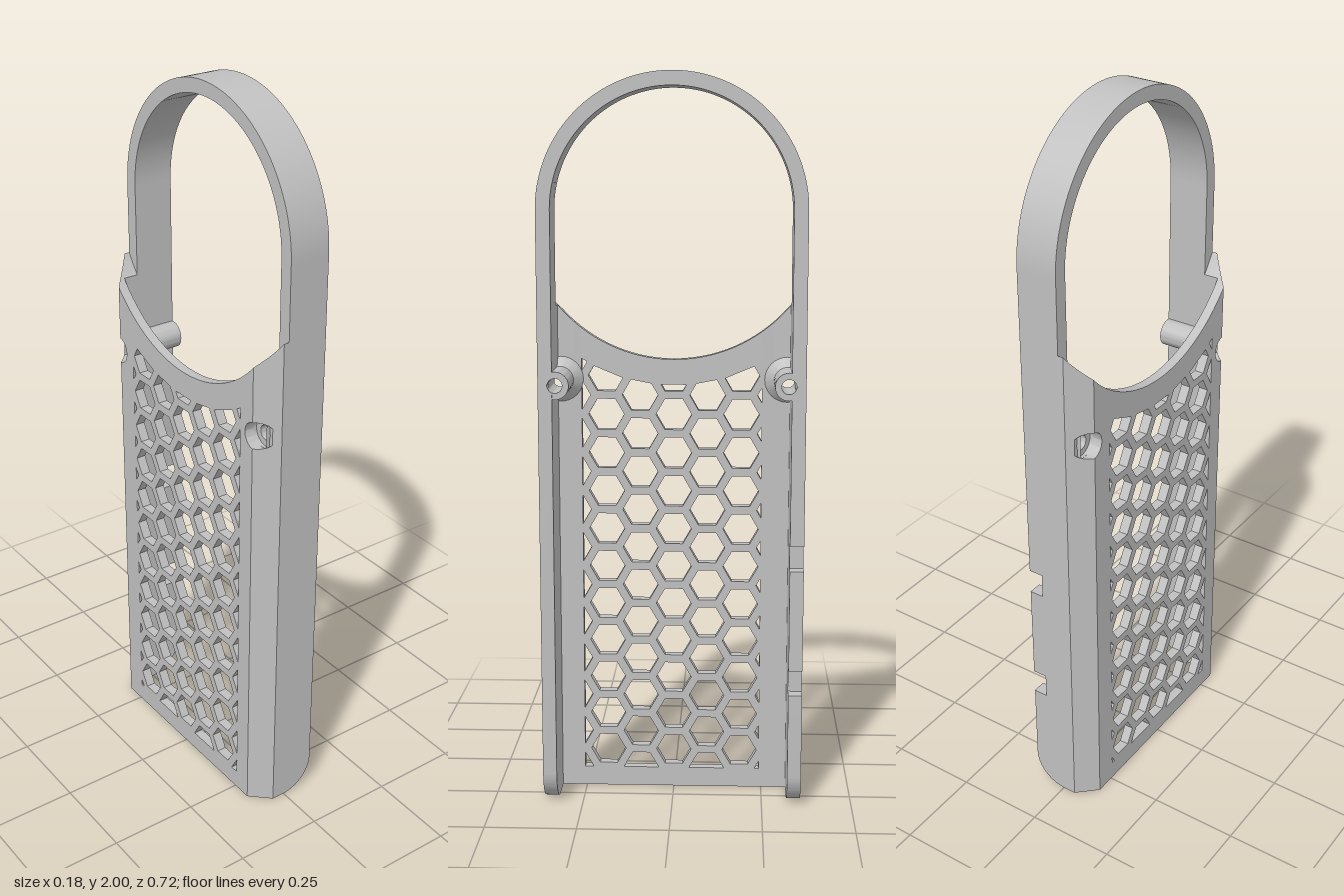
import * as THREE from 'three';
import { toCreasedNormals } from 'three/addons/utils/BufferGeometryUtils.js';

const OUT = 0.358, IN = 0.32;              // outer and inner half width
const BACK = -0.092, FRONT = 0.092;        // depth range
const HOOP_X = -0.023, HOOP_Y = 1.642;     // hoop back edge and centre height
const PLATE_IN = -0.065, FLAT = 0.307;     // plate inner face, start of chamfer
const SLOPE = 1.06;                        // chamfer depth per unit of width
const BOSS = { z: 0.3125, y: 1.18, bore: 0.0375, hole: 0.02, floor: -0.055 };
const ARC_Y = 1.651, ARC_R = 0.416;        // scooped top edge of the plate

const scoop = (z, r = ARC_R) => ARC_Y - Math.sqrt(r * r - z * z);
const chamfer = z => BACK + Math.max(0, z - FLAT) * SLOPE;
const half = (z, r) => Math.sqrt(Math.max(0, r * r - (z - BOSS.z) ** 2));

// Prism swept along z whose x and y limits are functions of z; s mirrors it
function sweep(z0, z1, xo, xi, lo, hi, s, n = 16) {
  const pos = [];
  const ring = i => {
    const z = z0 + (z1 - z0) * i / n;
    return [[xo(z), lo(z), z], [xi(z), lo(z), z], [xi(z), hi(z), z], [xo(z), hi(z), z]];
  };
  const tri = (a, b, c) => {
    for (const p of s > 0 ? [a, b, c] : [a, c, b]) pos.push(p[0], p[1], p[2] * s);
  };
  const quad = (a, b, c, d) => { tri(a, b, c); tri(a, c, d); };
  for (let i = 0; i < n; i++) {
    const p = ring(i), q = ring(i + 1);
    for (let k = 0; k < 4; k++) {
      const m = (k + 1) % 4;
      quad(p[k], p[m], q[m], q[k]);
    }
  }
  quad(...ring(n));
  quad(...ring(0).reverse());
  const g = new THREE.BufferGeometry();
  g.setAttribute('position', new THREE.Float32BufferAttribute(pos, 3));
  return g;
}

// Keeps the part of a polygon where a*x + b*y <= c
function clip(poly, a, b, c) {
  const out = [];
  poly.forEach((p, i) => {
    const q = poly[(i + 1) % poly.length];
    const dp = a * p.x + b * p.y - c, dq = a * q.x + b * q.y - c;
    if (dp <= 0) out.push(p);
    if (dp * dq < 0) out.push(p.clone().lerp(q, dp / (dp - dq)));
  });
  return out;
}

// Honeycomb openings trimmed to the plate's border (shape x is -z)
function honeycomb() {
  const pitch = 0.108, step = pitch * 0.866, r = 0.0495, holes = [];
  for (let col = -3; col <= 3; col++) {
    for (let row = -1; row < 12; row++) {
      const cz = col * step, cy = 0.11 + (row + (col % 2 ? 0.5 : 0)) * pitch;
      let poly = [];
      for (let k = 0; k < 6; k++) {
        const t = k * Math.PI / 3;
        poly.push(new THREE.Vector2(cz + r * Math.cos(t), cy + r * Math.sin(t)));
      }
      const t = THREE.MathUtils.clamp(cz, -0.24, 0.24), R = ARC_R + 0.07;
      const slope = t / Math.sqrt(R * R - t * t);
      poly = clip(poly, 1, 0, 0.243);
      poly = clip(poly, -1, 0, 0.255);
      poly = clip(poly, 0, -1, -0.055);
      poly = clip(poly, -slope, 1, scoop(t, R) - slope * t);
      if (poly.length > 2 && Math.abs(THREE.ShapeUtils.area(poly)) > 0.0001) holes.push(new THREE.Path(poly));
    }
  }
  return holes;
}

// Extrudes a (z, y) shape along x from x0
function extrudeX(shape, x0, depth) {
  const g = new THREE.ExtrudeGeometry(shape, { depth, bevelEnabled: false, curveSegments: 48 });
  return g.rotateY(Math.PI / 2).translate(x0, 0, 0);
}

export function createModel() {
  const model = new THREE.Group();
  const grey = new THREE.MeshStandardMaterial({ color: 0xc0c0c0 });
  grey.name = 'grey';
  const add = (geo, name) => {
    const mesh = new THREE.Mesh(toCreasedNormals(geo, 0.5), grey);
    mesh.name = name;
    model.add(mesh);
  };

  // Perforated back plate
  const edge = BOSS.z - BOSS.bore, plate = new THREE.Shape();
  plate.moveTo(-edge, 0);
  plate.lineTo(edge, 0);
  for (let i = 0; i <= 32; i++) {
    const z = edge * (1 - i / 16);
    plate.lineTo(z, scoop(z));
  }
  plate.holes = honeycomb();
  add(extrudeX(plate, BACK, PLATE_IN - BACK), 'honeycombPlate');

  // Half-round hoop
  const hoop = new THREE.Shape();
  hoop.absarc(0, HOOP_Y, OUT, 0, Math.PI, false);
  hoop.absarc(0, HOOP_Y, IN, Math.PI, 0, true);
  add(extrudeX(hoop, HOOP_X, FRONT - HOOP_X), 'hoop');

  const wallTop = 1.14, R = 0.095;
  const k = v => () => v;
  for (const s of [1, -1]) {
    const side = s > 0 ? 'left' : 'right';

    // Chamfered back edge, cut around the screw recess
    const floorEnd = FLAT + (BOSS.floor - BACK) / SLOPE;
    const strips = [
      [edge, FLAT, chamfer, k(PLATE_IN), BOSS.bore],
      [FLAT, IN, chamfer, k(PLATE_IN), BOSS.bore],
      [IN, floorEnd, chamfer, k(BOSS.floor), BOSS.bore],
      [IN, floorEnd, k(BOSS.floor), k(HOOP_X), BOSS.hole],
      [floorEnd, OUT, chamfer, k(HOOP_X), 0],
    ];
    for (const [z0, z1, xo, xi, r] of strips) {
      add(sweep(z0, z1, xo, xi, k(0), z => BOSS.y - half(z, r), s), side + 'BackEdgeLower');
      add(sweep(z0, z1, xo, xi, z => BOSS.y + half(z, r), z => scoop(z), s), side + 'BackEdgeUpper');
    }

    // Side wall with rounded foot; the right one has two notches
    const wall = new THREE.Shape();
    wall.moveTo(HOOP_X, 0);
    wall.lineTo(FRONT - R, 0);
    wall.absarc(FRONT - R, R, R, -Math.PI / 2, 0, false);
    if (s < 0) {
      for (const y of [0.327, 0.677]) {
        wall.lineTo(FRONT, y);
        wall.lineTo(FRONT - 0.04, y);
        wall.lineTo(FRONT - 0.04, y + 0.07);
        wall.lineTo(FRONT, y + 0.07);
      }
    }
    wall.lineTo(FRONT, wallTop);
    wall.lineTo(HOOP_X, wallTop);
    const wallGeo = new THREE.ExtrudeGeometry(wall, { depth: OUT - IN, bevelEnabled: false, curveSegments: 16 });
    add(wallGeo.translate(0, 0, s > 0 ? IN : -OUT), side + 'Wall');

    // Wall around and above the screw hole
    add(sweep(IN, OUT, k(HOOP_X), k(FRONT), k(wallTop), z => BOSS.y - half(z, BOSS.hole), s), side + 'WallMiddle');
    add(sweep(IN, OUT, k(HOOP_X), k(FRONT), z => BOSS.y + half(z, BOSS.hole), k(HOOP_Y), s), side + 'WallUpper');

    // Screw boss with flared base, trimmed where it meets the wall
    const { hole, bore, floor: f } = BOSS, end = 0.091;
    const profile = [[hole, end], [hole, f], [bore, f], [bore, PLATE_IN], [0.0625, PLATE_IN],
      [bore, -0.04], [bore, end], [hole, end]].map(p => new THREE.Vector2(...p));
    const boss = new THREE.LatheGeometry(profile, 32).rotateZ(-Math.PI / 2).translate(0, BOSS.y, s * BOSS.z);
    const p = boss.attributes.position;
    for (let i = 0; i < p.count; i++) p.setZ(i, s * Math.min(s * p.getZ(i), 0.33));
    add(boss, side + 'ScrewBoss');
  }
  return model;
}
